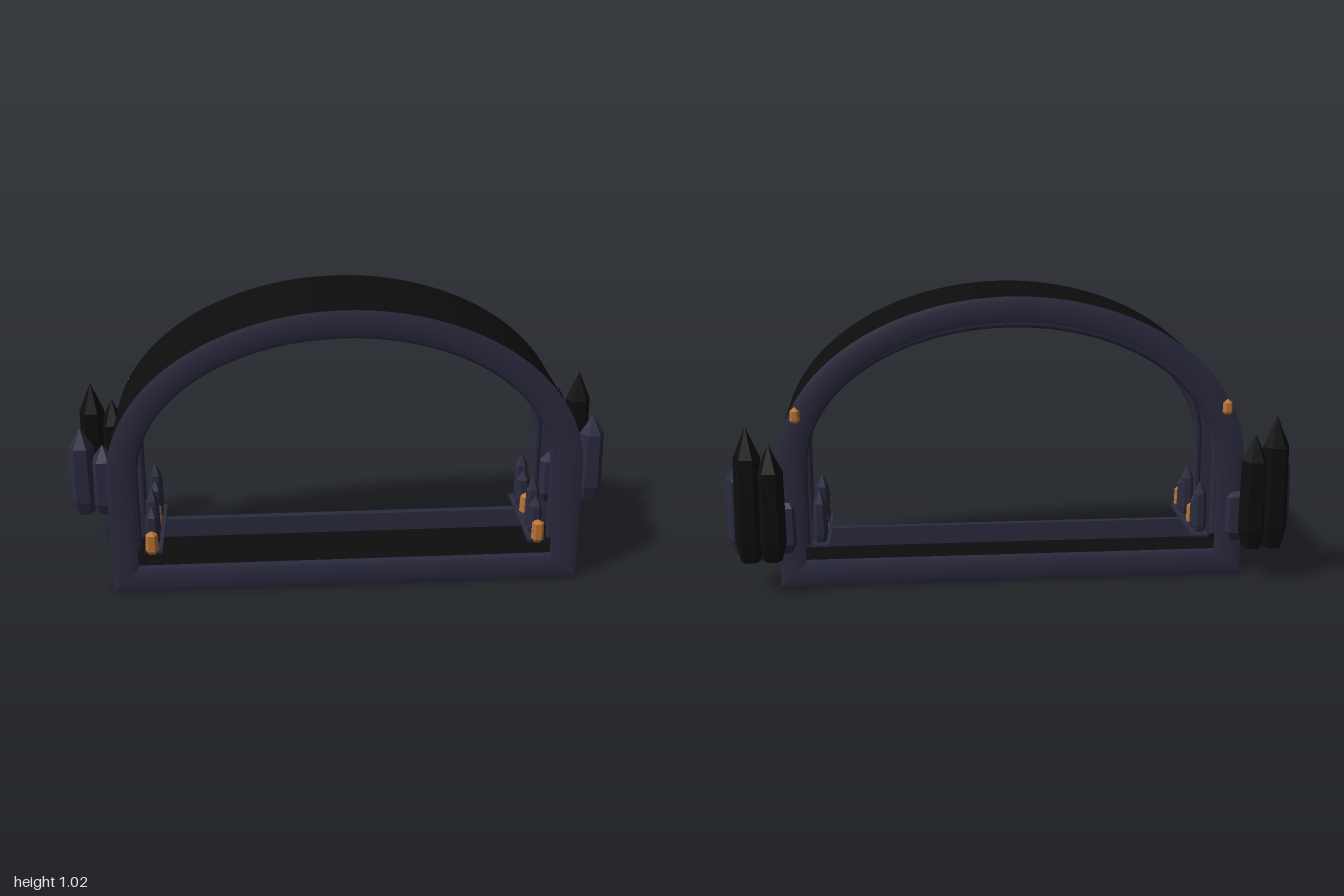
import * as THREE from 'three';
import { toCreasedNormals } from 'three/addons/utils/BufferGeometryUtils.js';

const black = new THREE.MeshStandardMaterial({ color: 0x0d0d0d });
black.name = 'black stone';
const navy = new THREE.MeshStandardMaterial({ color: 0x2a2a3f });
navy.name = 'dark navy';
const copper = new THREE.MeshStandardMaterial({ color: 0xb87333 });
copper.name = 'copper';

const HALF_W = 0.82, SPRING = 0.43, RISE = 0.59;
const MID_Z = 0.0575, HALF_D = 0.2125, RIM = 0.09;

function add(parent, name, geometry, material) {
  const mesh = new THREE.Mesh(geometry, material);
  mesh.name = name;
  parent.add(mesh);
  return mesh;
}

// Half-ellipse over straight legs, from the right foot to the left foot
function archPoints(a, rise, foot, steps = 64) {
  const pts = [new THREE.Vector2(a, foot)];
  for (let i = 0; i <= steps; i++) {
    const t = (Math.PI * i) / steps;
    pts.push(new THREE.Vector2(a * Math.cos(t), SPRING + rise * Math.sin(t)));
  }
  pts.push(new THREE.Vector2(-a, foot));
  return pts;
}
const outline = (inset) => archPoints(HALF_W - inset, RISE - inset, inset);

// Sweeps a section of [inset, z] points around the closed outline
function sweep(section) {
  const positions = [], indices = [];
  const m = section.length;
  const rows = section.map(([inset, z]) => {
    const p = outline(inset);
    // doubled feet keep the lower corners sharp
    const loop = [p[p.length - 1], p[0], p[0], ...p.slice(1), p[p.length - 1]];
    return loop.map((v) => [v.x, v.y, z]);
  });
  const n = rows[0].length;
  for (let i = 0; i < n; i++) for (let j = 0; j < m; j++) positions.push(...rows[j][i]);
  for (let i = 0; i < n - 1; i++) {
    if (i === 1) continue;
    for (let j = 0; j < m - 1; j++) {
      const a = i * m + j, b = a + m;
      indices.push(a, b, b + 1, a, b + 1, a + 1);
    }
  }
  const g = new THREE.BufferGeometry();
  g.setAttribute('position', new THREE.Float32BufferAttribute(positions, 3));
  g.setIndex(indices);
  g.computeVertexNormals();
  return g;
}

// Faceted six-sided crystal with a tapered foot and a pointed tip
function crystal(parent, name, material, x, z, bottom, top, r, shoulder) {
  const h = top - bottom;
  const profile = [[0, 0], [r * 0.68, 0], [r, h * 0.16], [r * 0.92, h * shoulder], [0, h]];
  const g = new THREE.LatheGeometry(profile.map(([px, py]) => new THREE.Vector2(px, py)), 6)
    .rotateY(Math.PI / 2).toNonIndexed();
  g.computeVertexNormals();
  add(parent, name, g, material).position.set(x, bottom, z);
}

export function createModel() {
  const model = new THREE.Group();
  model.name = 'crystalArch';

  // Thin arched tunnel with a floor
  const depth = 2 * (HALF_D - 0.007);
  const shape = new THREE.Shape(outline(0));
  shape.holes.push(new THREE.Path(outline(0.018).reverse()));
  const shell = new THREE.ExtrudeGeometry(shape, { depth, bevelEnabled: false });
  shell.translate(0, 0, MID_Z - depth / 2);
  add(model, 'tunnelShell', toCreasedNormals(shell, 0.6), black);

  // Softly domed rims and inner arch mouldings at both ends
  for (const end of [0, 1]) {
    const side = new THREE.Group();
    side.name = end ? 'backRim' : 'frontRim';
    side.position.z = MID_Z;
    side.rotation.y = end * Math.PI;
    const d = HALF_D, back = d - 0.035;
    add(side, 'rimFace', sweep([[0, d - 0.007], [0.018, d - 0.002], [RIM / 2, d],
      [RIM - 0.018, d - 0.002], [RIM, d - 0.007]]), navy);
    add(side, 'rimInside', sweep([[RIM, d - 0.007], [RIM, back]]), navy);
    add(side, 'rimReverse', sweep([[RIM, back], [0.016, back]]), navy);

    const path = archPoints(0.733, 0.49, 0.14).map((p) => new THREE.Vector3(p.x, p.y, d - 0.065));
    add(side, 'innerMoulding',
      new THREE.TubeGeometry(new THREE.CatmullRomCurve3(path), 96, 0.016, 8), navy);
    model.add(side);
  }

  for (const s of [1, -1]) {
    const side = new THREE.Group();
    side.name = s > 0 ? 'leftCrystals' : 'rightCrystals';
    model.add(side);

    // Outer clusters
    for (const [x, top] of [[0.95, 0.47], [0.873, 0.4], [0.795, 0.34]])
      crystal(side, 'navyCrystal', navy, s * x, -0.13, 0.13, top, 0.05, 0.78);
    for (const [x, top] of [[0.912, 0.605], [0.838, 0.54]])
      crystal(side, 'blackCrystal', black, s * x, -0.228, 0.13, top, 0.05, 0.77);

    // Shelf inside the tunnel with spikes and copper stones
    add(side, 'shelf', new THREE.BoxGeometry(0.06, 0.008, 0.38), navy)
      .position.set(s * 0.675, 0.145, 0.055);
    for (const [z, top] of [[-0.09, 0.34], [-0.045, 0.29], [0.125, 0.34], [0.18, 0.29]])
      crystal(side, 'shelfSpike', navy, s * 0.68, z, 0.14, top, 0.025, 0.75);
    for (const z of [0.02, 0.24])
      crystal(side, 'copperStone', copper, s * 0.68, z, 0.14, 0.225, 0.023, 0.85);

    // Copper stone on the back rim
    crystal(side, 'backCopperStone', copper, s * 0.75, -0.168, 0.6, 0.655, 0.018, 0.75);
  }
  return model;
}
